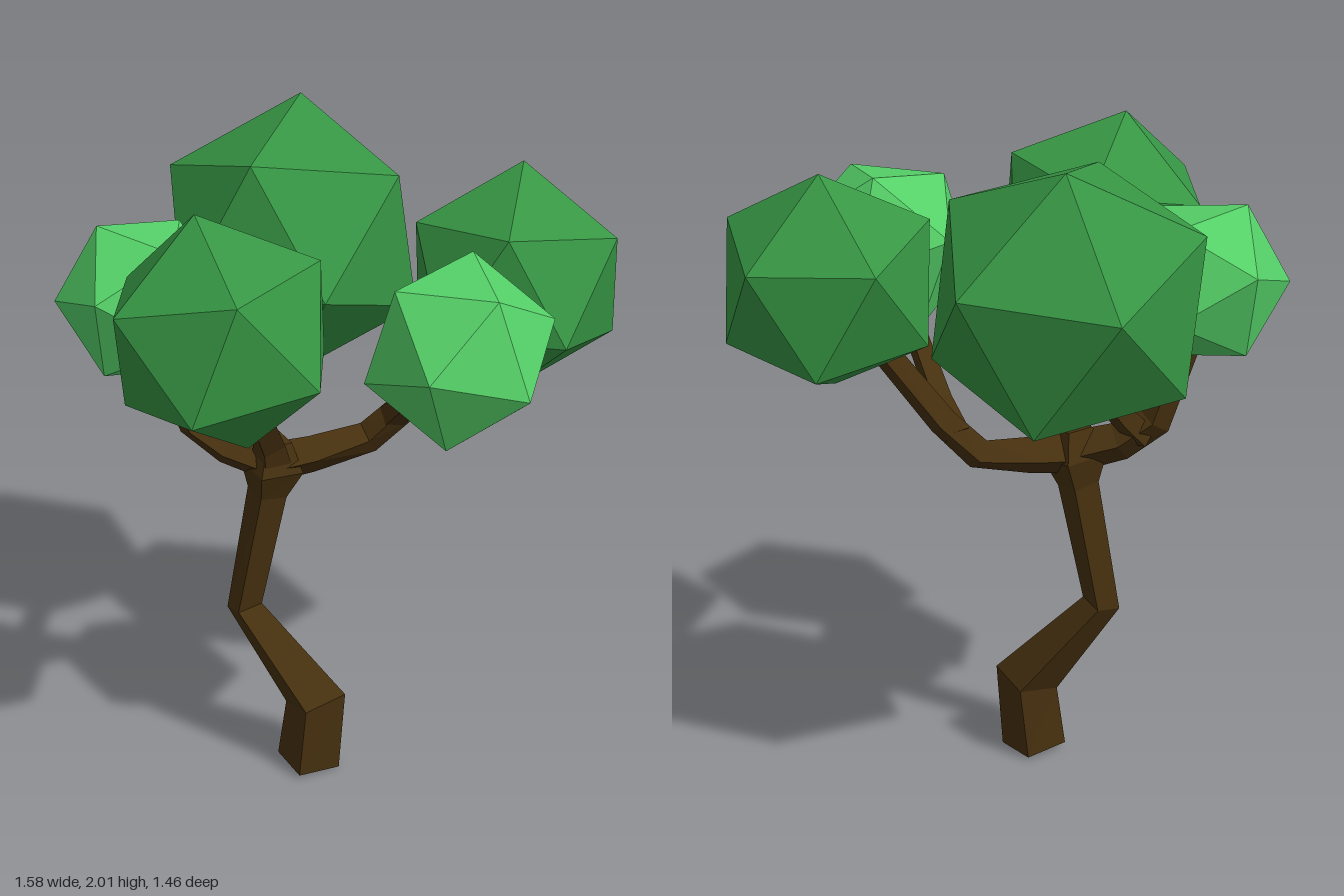
import * as THREE from 'three';

const material = (color) => new THREE.MeshStandardMaterial({ color, flatShading: true });
const bark = material(0x46300f);
const leaf = material(0x379644);
const lightLeaf = material(0x55d068);
const vec = (a) => new THREE.Vector3(...a);

// Four-sided limb through points [x, y, z, radius], closed at both ends
function limb(name, points) {
  const centres = points.map(([x, y, z]) => new THREE.Vector3(x, y, z));
  const last = points.length - 1;
  const rings = centres.map((c, i) => {
    const t = new THREE.Vector3();
    if (i > 0) t.add(c.clone().sub(centres[i - 1]).normalize());
    if (i < last) t.add(centres[i + 1].clone().sub(c).normalize());
    t.normalize();
    const v = new THREE.Vector3(0, 0, 1).addScaledVector(t, -t.z).normalize();
    const u = v.clone().cross(t);
    return [0, 1, 2, 3].map((k) => {
      const a = (k * Math.PI) / 2;
      return c.clone()
        .addScaledVector(u, Math.cos(a) * points[i][3])
        .addScaledVector(v, Math.sin(a) * points[i][3]);
    });
  });
  const corners = [];
  const quad = (a, b, c, d) => corners.push(a, b, c, a, c, d);
  for (let i = 0; i < last; i++) {
    for (let k = 0; k < 4; k++) {
      const n = (k + 1) % 4;
      quad(rings[i][k], rings[i][n], rings[i + 1][n], rings[i + 1][k]);
    }
  }
  quad(...rings[0].slice().reverse());
  quad(...rings[last]);
  const geometry = new THREE.BufferGeometry().setFromPoints(corners);
  geometry.computeVertexNormals();
  const mesh = new THREE.Mesh(geometry, bark);
  mesh.name = name;
  return mesh;
}

// Icosahedron turned so that one of its edges joins the directions a and b
function foliage(name, centre, radius, a, b, mat) {
  const p = vec(a).normalize();
  const q = vec(b).normalize();
  const y = p.clone().add(q).normalize();
  const x = q.clone().sub(p).normalize();
  const z = x.clone().cross(y);
  const mesh = new THREE.Mesh(new THREE.IcosahedronGeometry(radius, 0), mat);
  mesh.quaternion.setFromRotationMatrix(new THREE.Matrix4().makeBasis(x, y, z));
  mesh.position.set(...centre);
  mesh.name = name;
  return mesh;
}

export function createModel() {
  const tree = new THREE.Group();
  tree.name = 'tree';

  // Crooked trunk, swelling where the branches part
  tree.add(limb('trunk', [
    [-0.057, 0.01, 0.057, 0.1], [-0.035, 0.24, 0.05, 0.1], [-0.27, 0.525, 0.025, 0.058],
    [-0.2, 0.92, 0, 0.062], [-0.185, 1.01, 0, 0.1], [-0.18, 1.1, 0, 0.06],
  ]));

  // Branches, each ending inside a clump of leaves
  tree.add(
    limb('rightBranch', [
      [-0.18, 1.02, -0.01, 0.065], [-0.08, 1.03, -0.07, 0.06], [0.07, 1.06, -0.17, 0.05],
      [0.17, 1.16, -0.19, 0.046], [0.4, 1.46, -0.23, 0.04],
    ]),
    limb('rightFork', [[0.13, 1.12, -0.19, 0.045], [0.19, 1.2, -0.13, 0.04], [0.36, 1.44, 0.12, 0.035]]),
    limb('leftBranch', [
      [-0.18, 1.02, 0, 0.065], [-0.32, 1.06, 0.01, 0.06], [-0.42, 1.13, 0.02, 0.055], [-0.53, 1.44, 0.06, 0.045],
    ]),
    limb('leftFork', [[-0.39, 1.08, 0.01, 0.045], [-0.34, 1.15, -0.04, 0.04], [-0.22, 1.36, -0.16, 0.036]]),
    limb('frontBranch', [[-0.18, 1.02, 0.01, 0.065], [-0.175, 1.11, 0.05, 0.05], [-0.17, 1.4, 0.28, 0.04]]),
  );

  // Leaf clumps
  tree.add(
    foliage('backFoliage', [-0.22, 1.61, -0.36], 0.428, [-0.025, 0.39, -0.165], [-0.21, 0.055, -0.38], leaf),
    foliage('frontFoliage', [-0.195, 1.627, 0.415], 0.347, [-0.075, 0.338, -0.01], [-0.015, 0.142, -0.315], leaf),
    foliage('rightFoliage', [0.485, 1.593, -0.27], 0.342, [-0.004, 0.332, -0.075], [0.15, 0.087, -0.287], leaf),
    foliage('smallRightFoliage', [0.432, 1.565, 0.217], 0.28, [-0.018, 0.015, 0.278], [0, -0.243, 0.14], lightLeaf),
    foliage('smallLeftFoliage', [-0.55, 1.55, 0.078], 0.256, [-0.24, -0.01, 0.068], [-0.05, 0.065, 0.23], lightLeaf),
  );
  return tree;
}
